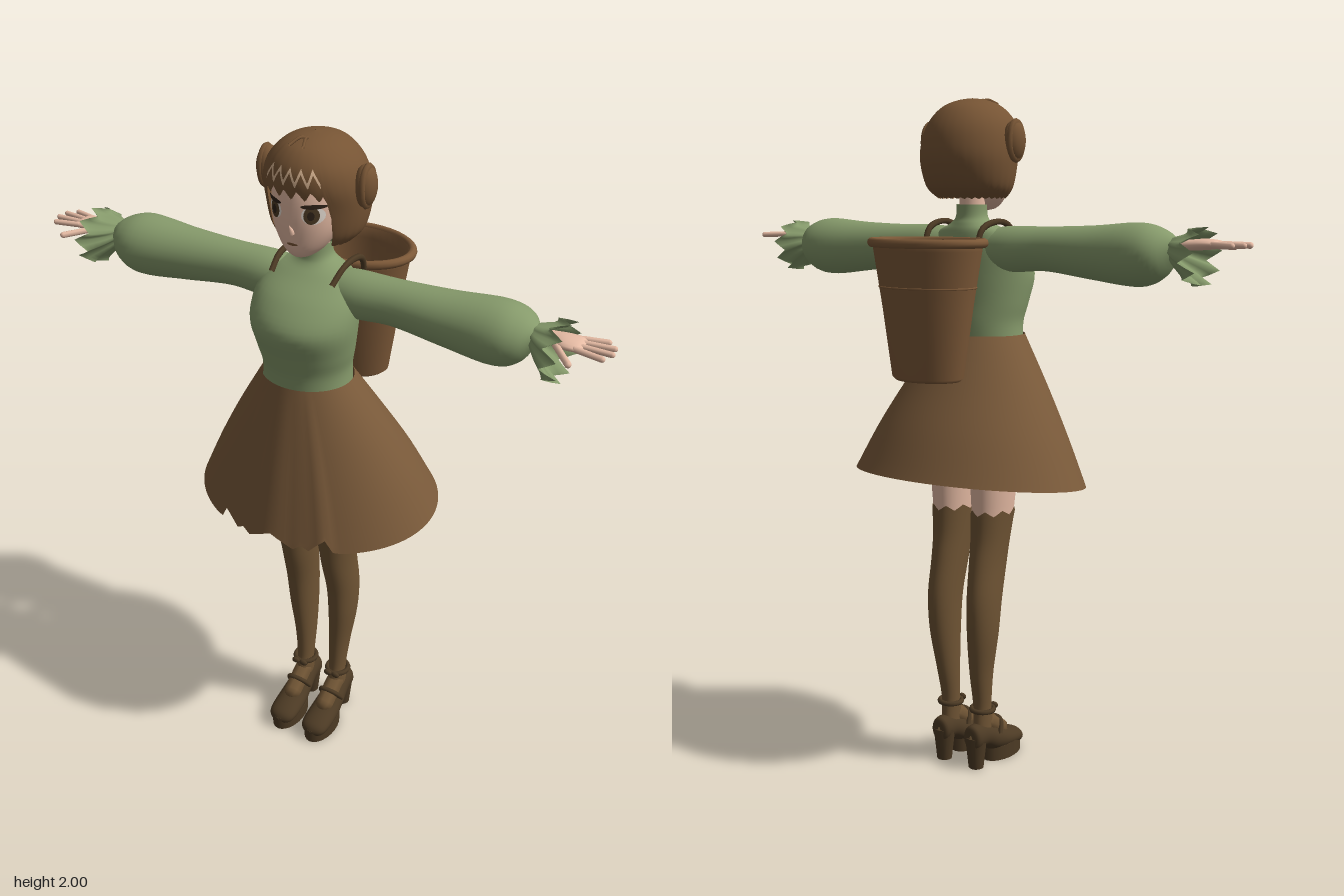
import * as THREE from 'three';
import { mergeVertices } from 'three/addons/utils/BufferGeometryUtils.js';

const { sin, cos, abs, max, min, PI } = Math;
const mat = (name, color, side = THREE.FrontSide) => {
  const m = new THREE.MeshStandardMaterial({ color, side });
  m.name = name;
  return m;
};

// Smoothly samples a table of cross-sections at a fractional row index
function sample(rows, p) {
  const n = rows.length - 1, i = min(n - 1, max(0, Math.floor(p))), t = p - i;
  const a = rows[max(0, i - 1)], b = rows[i], c = rows[i + 1], d = rows[min(n, i + 2)];
  return b.map((_, k) => b[k] + 0.5 * t * (c[k] - a[k] + t * (2 * a[k] - 5 * b[k] + 4 * c[k] - d[k]
    + t * (3 * (b[k] - c[k]) + d[k] - a[k]))));
}

// Grid surface from a function f(angle, v), closed around the angle
function surface(f, nu, nv, a0 = 0, a1 = 2 * PI) {
  const closed = a1 - a0 > 6.28, cols = closed ? nu : nu + 1, pos = [], idx = [];
  for (let j = 0; j <= nv; j++)
    for (let i = 0; i < cols; i++) pos.push(...f(a0 + (a1 - a0) * i / nu, j / nv));
  for (let j = 0; j < nv; j++)
    for (let i = 0; i < nu; i++) {
      const a = j * cols + i, b = j * cols + (i + 1) % cols;
      idx.push(a, b, b + cols, a, b + cols, a + cols);
    }
  const g = new THREE.BufferGeometry();
  g.setAttribute('position', new THREE.Float32BufferAttribute(pos, 3));
  g.setIndex(idx);
  g.computeVertexNormals();
  return g;
}

// Point on an oval section [t, lowA, highA, lowB, highB] lying across an axis
function ringPoint(axis, [t, a0, a1, b0, b1], ang) {
  const ca = (a0 + a1) / 2, ra = (a1 - a0) / 2, cb = (b0 + b1) / 2, rb = (b1 - b0) / 2;
  if (axis === 'y') return [ca + ra * sin(ang), t, cb + rb * cos(ang)];
  if (axis === 'x') return [t, ca + ra * cos(ang), cb + rb * sin(ang)];
  return [ca + ra * cos(ang), cb + rb * sin(ang), t];
}

function loft(axis, rows, nu = 28, nv = rows.length * 4, jag = () => 0) {
  return surface((a, v) => {
    const r = sample(rows, v * (rows.length - 1));
    r[0] += jag(a, v);
    return ringPoint(axis, r, a);
  }, nu, nv);
}

const sym = rows => rows.map(([y, x, z0, z1]) => [y, -x, x, z0, z1]);
const zig = (a, n) => abs(((a * n / (2 * PI)) % 1 + 1) % 1 * 2 - 1); // triangle wave 0..1
const wrap = a => (a > PI ? a - 2 * PI : a);

function rod(p, q, r) {
  const a = new THREE.Vector3(...p), d = new THREE.Vector3(...q).sub(a);
  const g = new THREE.CapsuleGeometry(r, d.length(), 4, 8).translate(0, d.length() / 2, 0);
  g.applyQuaternion(new THREE.Quaternion().setFromUnitVectors(new THREE.Vector3(0, 1, 0), d.normalize()));
  return g.translate(...p);
}
const tube = (pts, r) => new THREE.TubeGeometry(
  new THREE.CatmullRomCurve3(pts.map(p => new THREE.Vector3(...p))), 16, r, 6);

const FACE = sym([[1.683, 0.005, 0.1, 0.115], [1.69, 0.03, 0.07, 0.14], [1.715, 0.06, 0.03, 0.156], [1.76, 0.087, 0, 0.163],
  [1.81, 0.1, -0.03, 0.165], [1.87, 0.102, -0.05, 0.159], [1.93, 0.085, -0.04, 0.14], [1.965, 0.03, 0.02, 0.08]]);
const HAIR = sym([[1.715, 0.1, -0.05, 0.12], [1.75, 0.13, -0.09, 0.136], [1.82, 0.143, -0.115, 0.152], [1.88, 0.14, -0.113, 0.17],
  [1.93, 0.122, -0.095, 0.165], [1.97, 0.085, -0.06, 0.135], [1.99, 0.045, -0.01, 0.09], [1.997, 0.001, 0.035, 0.04]]);

// Depth of the face at (x, y)
function faceZ(x, y) {
  let lo = 0, hi = FACE.length - 1;
  for (let i = 0; i < 24; i++) {
    const m = (lo + hi) / 2;
    if (sample(FACE, m)[0] < y) lo = m; else hi = m;
  }
  const [, , rx, z0, z1] = sample(FACE, lo);
  return (z0 + z1) / 2 + (z1 - z0) / 2 * Math.sqrt(max(0, 1 - (x / rx) ** 2));
}
// Thin oval that follows the face
const decal = (cx, cy, rx, ry, lift) => surface((a, v) => {
  const x = cx + rx * (1 - v) * cos(a), y = cy + ry * (1 - v) * sin(a);
  return [x, y, faceZ(x, y) + lift];
}, 20, 4);

export function createModel() {
  const D = THREE.DoubleSide;
  const skin = mat('skin', 0xe6bba4), hair = mat('hair brown', 0x765434, D), shine = mat('hair highlight', 0xd9b592, D);
  const green = mat('sweater green', 0x869a6b, D), skirtBrown = mat('skirt brown', 0x7a5a3a, D);
  const stocking = mat('stocking brown', 0x6f5434, D), leather = mat('shoe leather', 0x4c3a24);
  const wicker = mat('basket brown', 0x7d5938, D), white = mat('eye white', 0xeee4da), dark = mat('lash dark', 0x2e2117, D);
  const model = new THREE.Group();

  const add = (name, geo, m) => {
    const mesh = new THREE.Mesh(geo, m);
    mesh.name = name;
    model.add(mesh);
  };
  // Adds a left part and its mirror image
  const pair = (name, geo, m) => {
    if (!geo.index) geo = mergeVertices(geo);
    const other = geo.clone().scale(-1, 1, 1);
    other.index.array.reverse();
    add(name + 'Left', geo, m);
    add(name + 'Right', other, m);
  };

  // Head and face
  add('head', loft('y', FACE, 40, 40), skin);
  add('neck', new THREE.CylinderGeometry(0.036, 0.038, 0.09, 20).translate(0, 1.715, 0.035), skin);
  add('nose', new THREE.ConeGeometry(0.01, 0.03, 8).rotateX(0.5).translate(0, 1.778, 0.168), skin);
  add('mouth', decal(0, 1.733, 0.016, 0.004, 0.002), wicker);
  pair('eyeWhite', decal(0.055, 1.818, 0.026, 0.024, 0.002), white);
  pair('iris', decal(0.053, 1.818, 0.018, 0.023, 0.004), leather);
  pair('pupil', decal(0.053, 1.818, 0.008, 0.012, 0.006), dark);
  pair('lash', decal(0.057, 1.842, 0.029, 0.006, 0.006), dark);

  // Bobbed hair: long at the sides and back, cut to a zigzag fringe in front
  const hem = a => {
    const w = abs(wrap(a));
    const bob = 0.25 * zig(a, 30);
    if (w > 0.82) return bob;
    const fringe = 2.55 + 0.5 * zig(a + 0.12, 24);
    return w < 0.62 ? fringe : bob + (fringe - bob) * (0.82 - w) / 0.2;
  };
  const onHair = (p, a, grow = 0) => {
    const [t, x0, x1, z0, z1] = sample(HAIR, p);
    return ringPoint('y', [t, x0 - grow, x1 + grow, z0 - grow, z1 + grow], a);
  };
  add('hair', surface((a, v) => onHair(hem(a) + (7 - hem(a)) * v, a), 144, 36), hair);
  add('hairHighlight', surface((a, v) =>
    onHair(3.2 + 0.75 * zig(a, 26) + v * 0.3, a, 0.003), 64, 3, -0.6, 0.6), shine);
  pair('hairBun', new THREE.SphereGeometry(1, 20, 14).scale(0.03, 0.057, 0.038).translate(0.144, 1.876, 0.035), hair);
  pair('bunRing', new THREE.TorusGeometry(0.032, 0.009, 8, 20).rotateY(PI / 2).scale(1, 1.5, 1).translate(0.15, 1.876, 0.035), hair);
  for (const s of [-1, 1])
    add('looseStrand', tube([[0, 1.985, 0.07], [s * 0.008, 1.996, 0.1], [s * 0.02, 1.985, 0.135]], 0.004), hair);

  // Sweater
  add('sweater', loft('y', sym([[1.3, 0.13, -0.025, 0.195], [1.36, 0.128, -0.03, 0.2], [1.42, 0.14, -0.03, 0.217],
    [1.5, 0.152, -0.033, 0.237], [1.57, 0.148, -0.033, 0.19], [1.62, 0.12, -0.028, 0.122], [1.645, 0.068, -0.02, 0.09],
    [1.665, 0.047, -0.012, 0.08], [1.7, 0.044, -0.01, 0.078]]), 40, 40), green);
  pair('sleeve', loft('x', [[0.05, 1.53, 1.63, -0.01, 0.1], [0.13, 1.51, 1.64, -0.02, 0.115], [0.25, 1.515, 1.64, -0.017, 0.112],
    [0.4, 1.497, 1.645, -0.03, 0.125], [0.54, 1.483, 1.655, -0.045, 0.14], [0.605, 1.505, 1.64, -0.03, 0.125],
    [0.64, 1.555, 1.617, 0.02, 0.09]]), green);
  pair('raggedCuff', loft('x', [[0.63, 1.56, 1.615, 0.025, 0.085], [0.66, 1.535, 1.622, 0.0, 0.115],
    [0.7, 1.505, 1.632, -0.02, 0.145], [0.715, 1.49, 1.645, -0.025, 0.155]], 36, 8,
  (a, v) => v * (0.045 * zig(a, 9) - 0.03)), green);

  // Hands
  pair('palm', loft('x', [[0.62, 1.58, 1.612, 0.04, 0.075], [0.68, 1.583, 1.612, 0.035, 0.085], [0.72, 1.585, 1.615, 0.03, 0.105],
    [0.755, 1.589, 1.612, 0.03, 0.106], [0.772, 1.597, 1.604, 0.05, 0.09]], 16), skin);
  for (const [z0, x1, z1] of [[0.038, 0.815, 0.022], [0.058, 0.838, 0.046], [0.078, 0.842, 0.077], [0.098, 0.828, 0.11]])
    pair('finger', rod([0.755, 1.601, z0], [x1, 1.599, z1], 0.008), skin);
  pair('thumb', rod([0.705, 1.597, 0.095], [0.762, 1.592, 0.162], 0.009), skin);

  // Skirt with a torn front hem
  const notch = (a, at, w, depth) => depth * max(0, 1 - abs(abs(wrap(a)) - at) / w);
  const skirtHem = a => -0.033 * cos(a) + notch(a, 0, 0.2, 0.035) + notch(a, 0.44, 0.09, 0.055) + notch(a, 0.27, 0.07, 0.02);
  add('skirt', loft('y', sym([[0.9, 0.368, -0.265, 0.308], [1.04, 0.3, -0.198, 0.275], [1.18, 0.222, -0.118, 0.24],
    [1.325, 0.133, -0.034, 0.203]]), 96, 16, (a, v) => (1 - v) * skirtHem(a)), skirtBrown);
  const tip = new THREE.Shape([[0.03, 0.96], [0.07, 0.855], [0.13, 0.96]].map(p => new THREE.Vector2(...p)));
  pair('petticoatTip', new THREE.ShapeGeometry(tip).translate(0, 0, 0.27), green);

  // Legs
  pair('shorts', loft('y', [[0.945, 0.003, 0.144, -0.046, 0.14], [1.03, 0.0, 0.148, -0.05, 0.145], [1.15, 0.0, 0.14, -0.04, 0.16]]), stocking);
  pair('thigh', loft('y', [[0.76, 0.019, 0.123, -0.033, 0.11], [0.8, 0.015, 0.127, -0.034, 0.12], [0.88, 0.01, 0.134, -0.038, 0.127],
    [0.98, 0.005, 0.14, -0.042, 0.134]]), skin);
  pair('stocking', loft('y', [[0.07, 0.036, 0.085, -0.03, 0.045], [0.14, 0.034, 0.086, -0.025, 0.048], [0.2, 0.033, 0.086, -0.025, 0.04],
    [0.3, 0.03, 0.095, -0.045, 0.042], [0.42, 0.028, 0.112, -0.064, 0.052], [0.53, 0.026, 0.118, -0.068, 0.065],
    [0.64, 0.021, 0.118, -0.052, 0.092], [0.72, 0.017, 0.122, -0.04, 0.107], [0.81, 0.012, 0.13, -0.037, 0.124]], 32, 36,
  (a, v) => -0.016 * v ** 10 * zig(a, 8)), stocking);
  pair('instep', rod([0.06, 0.13, 0.03], [0.06, 0.09, 0.095], 0.03), stocking);

  // Heeled shoes
  pair('shoe', loft('z', [[-0.055, 0.055, 0.065, 0.09, 0.11], [-0.048, 0.03, 0.09, 0.062, 0.138], [0, 0.026, 0.096, 0.058, 0.135],
    [0.05, 0.02, 0.102, 0.03, 0.115], [0.1, 0.014, 0.107, 0.02, 0.092], [0.16, 0.015, 0.105, 0.018, 0.073],
    [0.185, 0.028, 0.092, 0.02, 0.06], [0.196, 0.058, 0.062, 0.035, 0.042]]), leather);
  pair('platform', new THREE.CylinderGeometry(1, 1, 0.045, 24).scale(0.047, 1, 0.083).translate(0.06, 0.0225, 0.113), leather);
  pair('heel', new THREE.CylinderGeometry(0.034, 0.023, 0.1, 14).translate(0.06, 0.05, -0.026), leather);
  pair('ankleStrap', new THREE.TorusGeometry(0.034, 0.008, 8, 20).rotateX(PI / 2).translate(0.06, 0.178, 0.008), leather);
  pair('instepStrap', tube([[0.022, 0.09, 0.05], [0.04, 0.127, 0.075], [0.08, 0.127, 0.075], [0.1, 0.09, 0.05]], 0.008), leather);
  for (const s of [-1, 1])
    pair('strapBow', new THREE.SphereGeometry(0.013, 10, 8).scale(1.1, 0.8, 0.6).translate(0.06 + s * 0.014, 0.18, 0.05), leather);

  // Back basket with shoulder straps
  const oval = g => g.scale(1, 1, 0.73).translate(0, 0, -0.182);
  const wall = [[0, 1.213], [0.1, 1.213], [0.111, 1.222], [0.14, 1.42], [0.166, 1.575], [0.17, 1.6],
    [0.158, 1.6], [0.152, 1.57], [0.104, 1.24], [0, 1.238]];
  add('basket', oval(new THREE.LatheGeometry(wall.map(p => new THREE.Vector2(...p)), 40)), wicker);
  add('basketRim', oval(new THREE.TorusGeometry(0.172, 0.013, 10, 40).rotateX(PI / 2).translate(0, 1.597, 0)), wicker);
  add('basketBand', oval(new THREE.TorusGeometry(0.149, 0.003, 6, 40).rotateX(PI / 2).translate(0, 1.475, 0)), wicker);
  pair('shoulderStrap', tube([[0.09, 1.56, -0.075], [0.093, 1.63, -0.05], [0.097, 1.652, 0.02], [0.097, 1.645, 0.07],
    [0.092, 1.615, 0.118]], 0.009), leather);

  return model;
}
